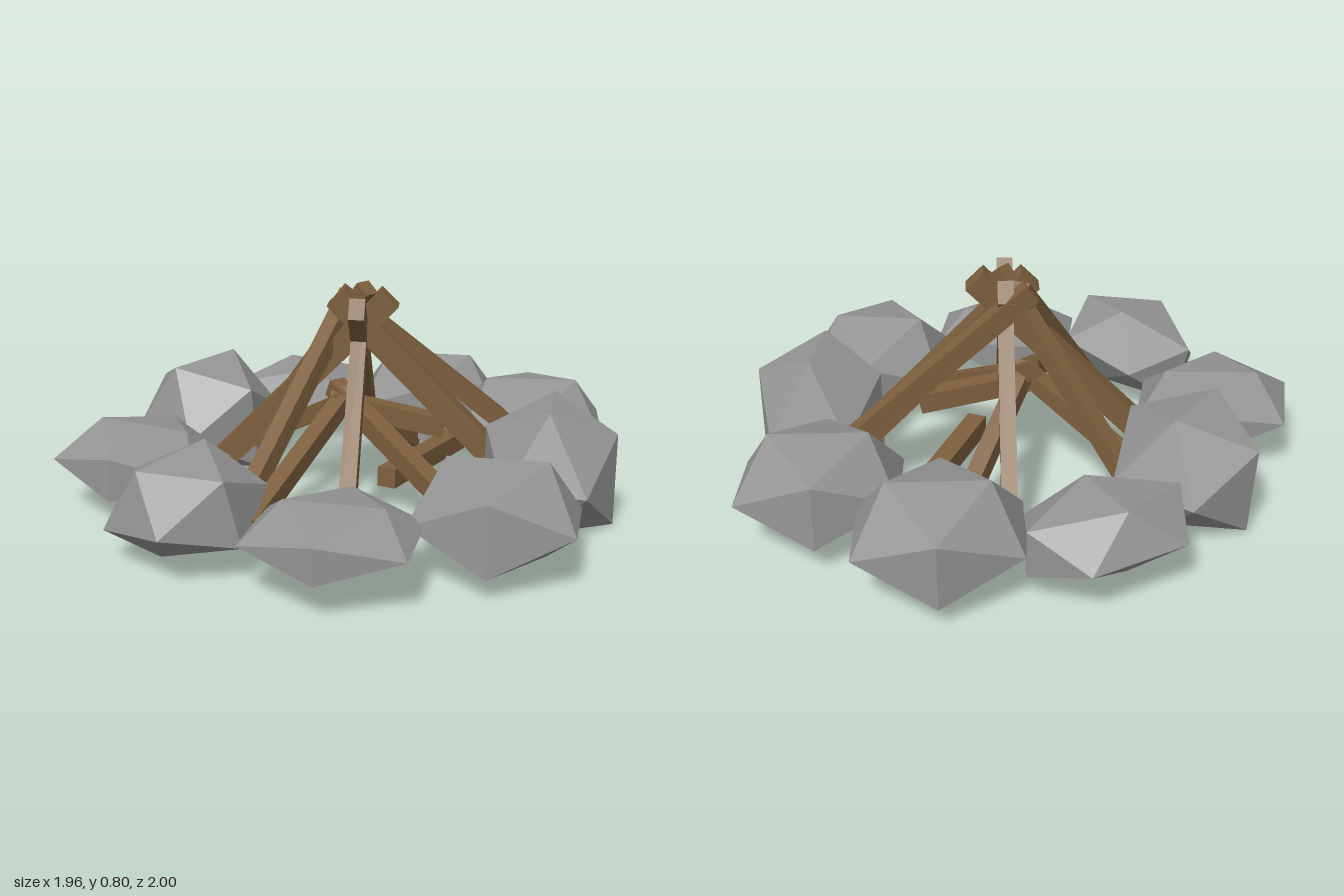
import * as THREE from 'three';

const stoneMat = new THREE.MeshStandardMaterial({ color: 0x949494, flatShading: true });
const woodMat = new THREE.MeshStandardMaterial({ color: 0x7d5f3e, flatShading: true });
const rad = THREE.MathUtils.degToRad;

// Squashed icosahedron with a flat underside, resting between two heights
function stone(x, z, bottom, top, rx, rz, turn, tiltX = 0, tiltZ = 0) {
  const geo = new THREE.IcosahedronGeometry(1, 0);
  const pos = geo.attributes.position;
  const low = -0.5257, high = 0.8507;
  for (let i = 0; i < pos.count; i++) pos.setY(i, Math.max(pos.getY(i), low));
  const sy = (top - bottom) / (high - low);
  geo.scale(rx, sy, rz);
  geo.computeVertexNormals();
  const mesh = new THREE.Mesh(geo, stoneMat);
  mesh.name = 'stone';
  mesh.position.set(x, bottom - low * sy, z);
  mesh.rotation.set(rad(tiltX), rad(turn), rad(tiltZ), 'XZY');
  return mesh;
}

// Straight stick running from its foot to its upper end
function stick(foot, tip, width, depth = width) {
  const a = new THREE.Vector3(...foot), b = new THREE.Vector3(...tip);
  const mesh = new THREE.Mesh(new THREE.BoxGeometry(width, depth, a.distanceTo(b)), woodMat);
  mesh.name = 'stick';
  mesh.position.copy(a).lerp(b, 0.5);
  mesh.lookAt(b);
  return mesh;
}

// Builds a named group from rows of arguments
function group(name, build, rows) {
  const g = new THREE.Group();
  g.name = name;
  rows.forEach((row) => g.add(build(...row)));
  return g;
}

export function createModel() {
  const model = new THREE.Group();
  model.name = 'campfire';

  // x, z, bottom, top, radius x, radius z, turn and tilts in degrees
  model.add(group('stoneRing', stone, [
    [-0.22, -0.74, 0.095, 0.31, 0.24, 0.335, 118],
    [0.30, -0.735, 0.07, 0.36, 0.315, 0.31, 0],
    [0.70, -0.43, 0.07, 0.36, 0.315, 0.31, 0, 4],
    [0.75, 0.10, 0.0, 0.43, 0.26, 0.265, 83],
    [0.56, 0.52, 0.05, 0.36, 0.31, 0.325, -7, -5],
    [0.06, 0.74, 0.12, 0.28, 0.31, 0.305, -8],
    [-0.435, 0.57, 0.07, 0.365, 0.265, 0.30, 48, 0, 14],
    [-0.69, 0.10, 0.10, 0.30, 0.315, 0.315, -12, 0, -4],
    [-0.535, -0.37, 0.025, 0.42, 0.29, 0.285, 54, 0, 4],
  ]));

  // Tall sticks crossing at the peak
  model.add(group('tallSticks', stick, [
    [[0.075, 0.12, -0.53], [0.075, 0.74, 0.11], 0.055, 0.085],
    [[0.075, 0.12, 0.46], [0.075, 0.74, -0.16], 0.055, 0.085],
    [[0.60, 0.13, -0.05], [-0.01, 0.75, -0.05], 0.085],
    [[-0.43, 0.13, -0.05], [0.18, 0.75, -0.05], 0.085],
    [[0.60, 0.24, -0.24], [-0.01, 0.74, -0.15], 0.06, 0.07],
    [[-0.30, 0.08, 0.39], [0.03, 0.74, -0.14], 0.06],
    [[-0.33, 0.14, -0.38], [0.10, 0.78, -0.05], 0.06],
  ]));

  // Low sticks stacked inside
  model.add(group('lowSticks', stick, [
    [[0.25, 0.07, -0.51], [0.0, 0.40, -0.02], 0.06],
    [[0.42, 0.09, -0.48], [0.18, 0.12, 0.07], 0.07],
    [[0.38, 0.28, -0.05], [0.0, 0.36, -0.05], 0.07],
    [[0.42, 0.13, 0.35], [-0.02, 0.41, -0.08], 0.065],
    [[-0.22, 0.15, 0.64], [0.02, 0.38, -0.03], 0.06],
    [[-0.38, 0.12, -0.27], [0.02, 0.38, 0.0], 0.06],
  ]));

  return model;
}
